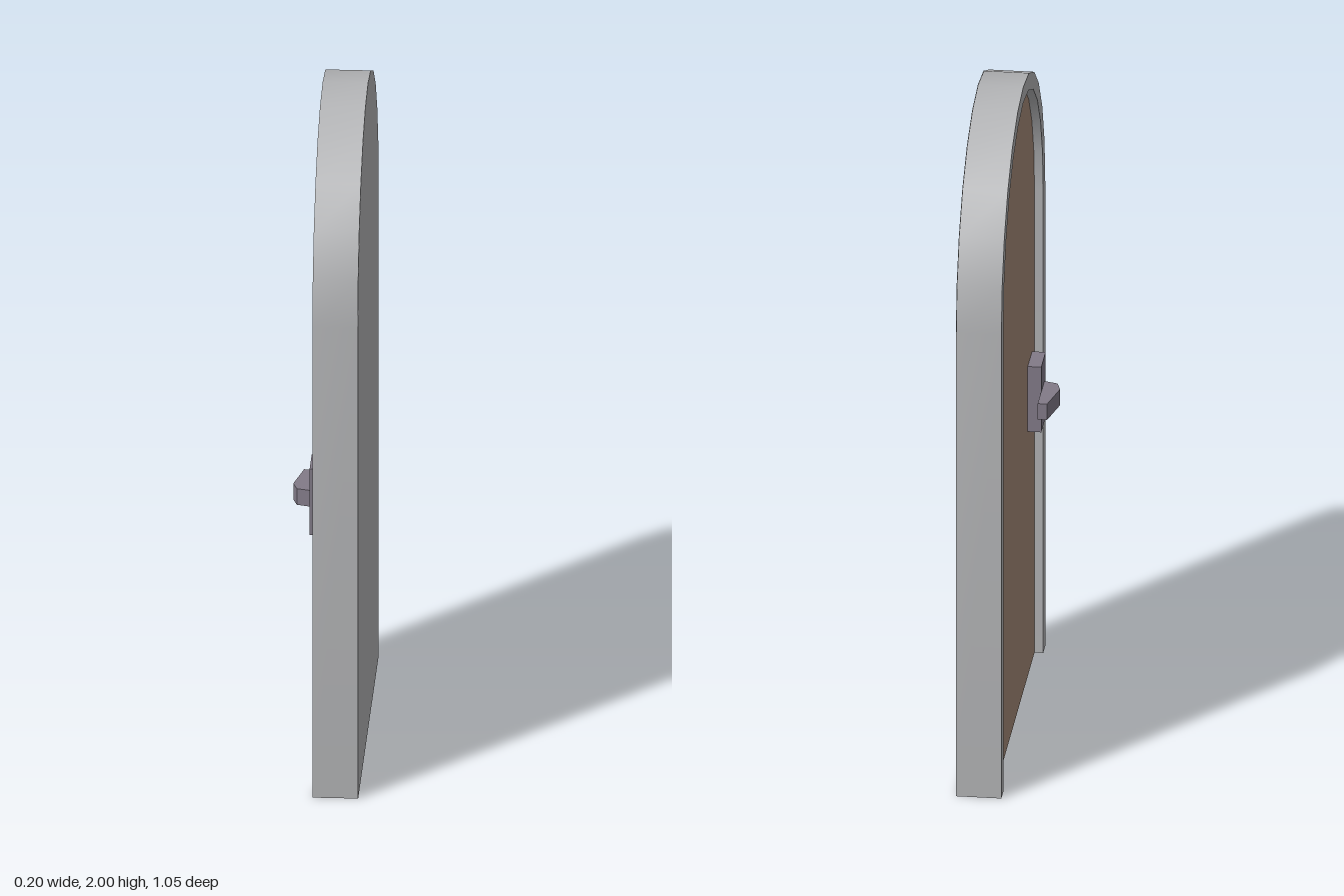
import * as THREE from 'three';
import { toCreasedNormals } from 'three/addons/utils/BufferGeometryUtils.js';

const SPRING = 1.46;            // height where the arch begins
const FRONT = -0.033, BACK = 0.098, DOOR = -0.008;

// Outline of an arched opening, from the foot on one side to the foot on the other
function archPoints(halfWidth, rise, steps = 12) {
  const pts = [new THREE.Vector2(halfWidth, 0)];
  for (let i = 0; i <= steps; i++) {
    const a = (Math.PI * i) / steps;
    pts.push(new THREE.Vector2(halfWidth * Math.cos(a), SPRING + rise * Math.sin(a)));
  }
  pts.push(new THREE.Vector2(-halfWidth, 0));
  return pts;
}

export function createModel() {
  const model = new THREE.Group();
  model.name = 'archedDoor';

  const stone = new THREE.MeshStandardMaterial({ color: 0xb3b4b6, side: THREE.DoubleSide });
  stone.name = 'grey frame';
  const wood = new THREE.MeshStandardMaterial({ color: 0xa58a78, side: THREE.DoubleSide });
  wood.name = 'brown wood';
  const metal = new THREE.MeshStandardMaterial({ color: 0x827b88 });
  metal.name = 'purple grey metal';

  const add = (name, geometry, material, parent = model) => {
    const mesh = new THREE.Mesh(geometry, material);
    mesh.name = name;
    parent.add(mesh);
    return mesh;
  };
  // Box given by its lower and upper corners
  const block = (name, lo, hi, parent) => {
    const size = hi.map((v, i) => v - lo[i]);
    const mesh = add(name, new THREE.BoxGeometry(...size), metal, parent);
    mesh.position.set(...lo.map((v, i) => v + size[i] / 2));
  };

  const outer = archPoints(0.525, 0.54);
  const inner = archPoints(0.475, 0.49);

  // Frame: an arched band, open at the bottom, smooth around the curve
  const band = new THREE.Shape([...outer, ...[...inner].reverse()]);
  const frame = new THREE.ExtrudeGeometry(band, { depth: BACK - 0.001 - FRONT, bevelEnabled: false });
  frame.rotateY(Math.PI / 2).translate(FRONT, 0, 0);
  add('frame', toCreasedNormals(frame, 0.35), stone);

  // Flat panel closing the far side of the frame
  const panel = new THREE.ShapeGeometry(new THREE.Shape(outer));
  add('backPanel', panel.rotateY(Math.PI / 2).translate(BACK, 0, 0), stone);

  // Door leaf, recessed in the frame
  const leaf = new THREE.ShapeGeometry(new THREE.Shape(inner));
  add('doorLeaf', leaf.rotateY(-Math.PI / 2).translate(DOOR, 0, 0), wood);

  // Hinges along one jamb
  for (const [name, y] of [['lowerHinge', 0.21], ['upperHinge', 1.43]]) {
    block(name, [-0.028, y, -0.478], [DOOR, y + 0.12, -0.445]);
  }

  // Handle: mounting plate with a faceted lever
  const handle = new THREE.Group();
  handle.name = 'handle';
  model.add(handle);
  block('handlePlate', [-0.047, 0.77, 0.313], [DOOR, 0.975, 0.417], handle);

  const profile = [[-0.046, 0.235], [-0.073, 0.235], [-0.098, 0.34], [-0.086, 0.378], [-0.046, 0.39]];
  const lever = new THREE.ExtrudeGeometry(
    new THREE.Shape(profile.map(([x, z]) => new THREE.Vector2(x, -z))),
    { depth: 0.05, bevelEnabled: false });
  add('handleLever', lever.rotateX(-Math.PI / 2).translate(0, 0.846, 0), metal, handle);

  return model;
}
